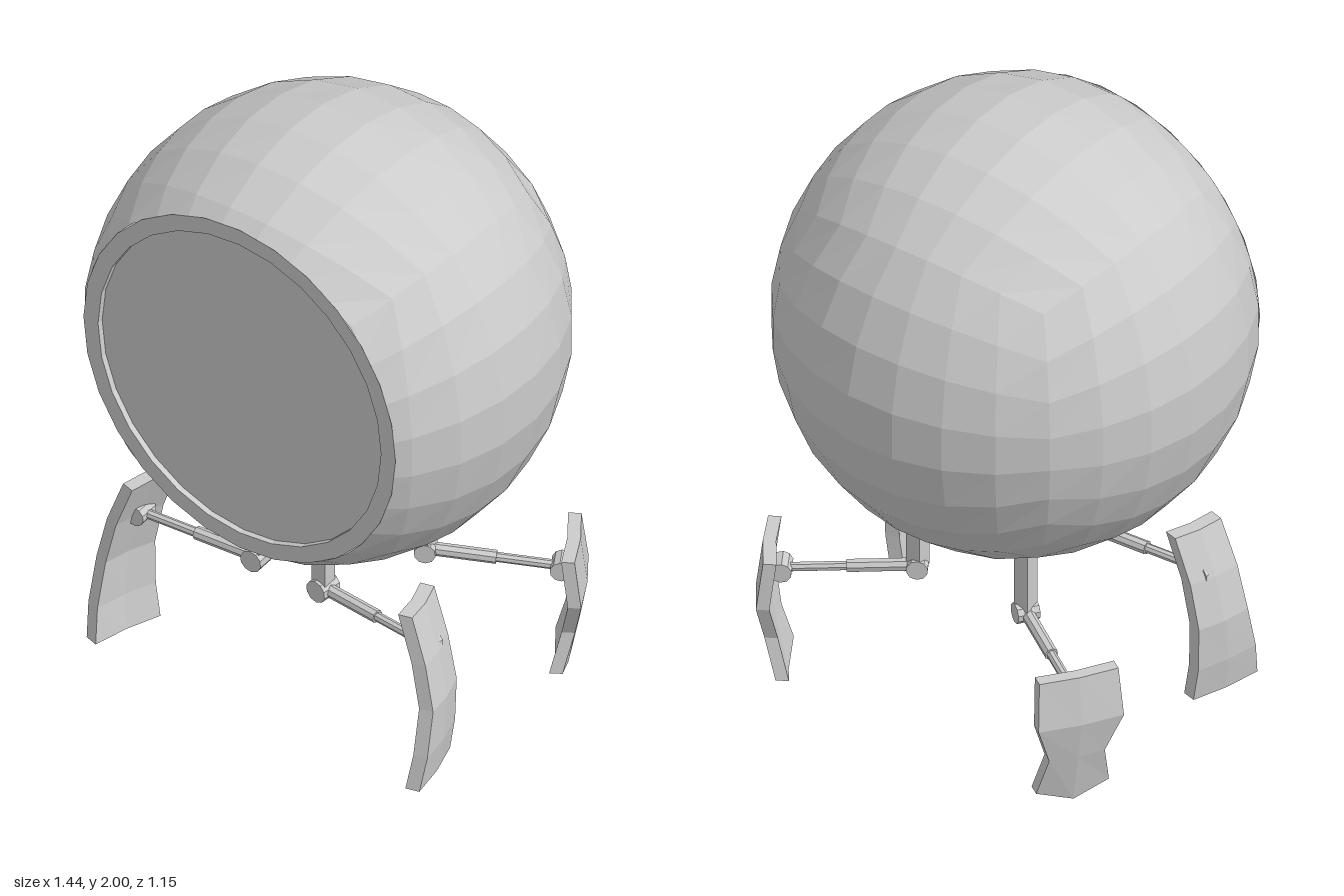
import * as THREE from 'three';

const material = new THREE.MeshStandardMaterial({ color: 0xcccccc, flatShading: true, side: THREE.DoubleSide });
const V = (x, y, z) => new THREE.Vector3(x, y, z);

function add(parent, name, geometry) {
  const mesh = new THREE.Mesh(geometry, material);
  mesh.name = name;
  parent.add(mesh);
  return mesh;
}

function fromPoints(points) {
  const geometry = new THREE.BufferGeometry().setFromPoints(points);
  geometry.computeVertexNormals();
  return geometry;
}

// Keep the part of a polygon where dot(normal, p) <= limit
function clip(poly, normal, limit) {
  const out = [];
  poly.forEach((a, i) => {
    const b = poly[(i + 1) % poly.length];
    const da = normal.dot(a) - limit, db = normal.dot(b) - limit;
    if (da <= 0) out.push(a);
    if (da * db < 0) out.push(a.clone().lerp(b, da / (da - db)));
  });
  return out;
}

// Faceted ball made from a rounded cube grid, cut flat at front and bottom
function bodyShell(radius, centre, frontZ, bottomY) {
  const box = new THREE.BoxGeometry(2, 2, 2, 7, 7, 7).toNonIndexed();
  const pos = box.attributes.position;
  const bend = v => Math.tan(v * Math.PI / 4);
  const corner = i => V(bend(pos.getX(i)), bend(pos.getY(i)), bend(pos.getZ(i)))
    .setLength(radius).add(centre);
  const points = [];
  for (let i = 0; i < pos.count; i += 3) {
    let poly = [corner(i), corner(i + 1), corner(i + 2)];
    poly = clip(poly, V(0, 0, 1), frontZ);
    poly = clip(poly, V(0, -1, 0), -bottomY);
    for (let j = 1; j + 1 < poly.length; j++) points.push(poly[0], poly[j], poly[j + 1]);
  }
  return fromPoints(points);
}

// Cylinder between two points
function rod(parent, name, a, b, r, sides = 8) {
  const dir = b.clone().sub(a);
  const mesh = add(parent, name, new THREE.CylinderGeometry(r, r, dir.length(), sides));
  mesh.position.copy(a).add(b).multiplyScalar(0.5);
  mesh.quaternion.setFromUnitVectors(V(0, 1, 0), dir.normalize());
  return mesh;
}

// Curved foot plate lofted through rows of [x, y, z, halfWidth, middleDrop]
function footPlate(rows, yaw, thickness, side) {
  const n = V(Math.cos(yaw), 0, -Math.sin(yaw)), t = V(Math.sin(yaw), 0, Math.cos(yaw));
  const loops = rows.map(([x, y, z, half, drop = 0]) => {
    const at = (w, k) => {
      const p = V(x, y - (w === 0 ? drop : 0), z).addScaledVector(t, w * half)
        .addScaledVector(n, k * thickness / 2 + (w === 0 ? 0.008 : 0));
      p.x *= side;
      return p;
    };
    const loop = [at(-1, 1), at(0, 1), at(1, 1), at(1, -1), at(0, -1), at(-1, -1)];
    return side < 0 ? loop.reverse() : loop;
  });
  const points = [];
  for (let i = 0; i + 1 < loops.length; i++) {
    for (let j = 0; j < 6; j++) {
      const k = (j + 1) % 6, p = loops[i], q = loops[i + 1];
      points.push(p[j], p[k], q[j], p[k], q[k], q[j]);
    }
  }
  // End caps, two quads each
  for (const [a, b, c, d] of [[0, 1, 4, 5], [1, 2, 3, 4]]) {
    const p = loops[0], q = loops[loops.length - 1];
    points.push(p[a], p[c], p[b], p[a], p[d], p[c]);
    points.push(q[a], q[b], q[c], q[a], q[c], q[d]);
  }
  return fromPoints(points);
}

const legs = [
  {
    name: 'frontLeg', hip: [0.125, 0.46, 0.33], ankle: [0.54, 0.455, 0.36], yaw: 0.27, thickness: 0.045, knuckle: 0.037,
    rows: [[0.5, 0.6, 0.362, 0.086], [0.555, 0.45, 0.367, 0.088], [0.588, 0.3, 0.37, 0.092],
      [0.588, 0.15, 0.388, 0.108], [0.573, 0.035, 0.4, 0.12]],
  },
  {
    name: 'backLeg', hip: [0.2, 0.405, -0.07], ankle: [0.545, 0.37, -0.285], yaw: 0.58, thickness: 0.04, knuckle: 0.033,
    rows: [[0.565, 0.47, -0.305, 0.125], [0.582, 0.31, -0.316, 0.135], [0.56, 0.18, -0.308, 0.088],
      [0.53, 0.045, -0.29, 0.115, 0.04]],
  },
];

function buildLeg(spec, side) {
  const leg = new THREE.Group();
  leg.name = (side > 0 ? 'left ' : 'right ') + spec.name;
  const hip = V(...spec.hip), ankle = V(...spec.ankle);
  hip.x *= side;
  ankle.x *= side;
  const along = ankle.clone().sub(hip);
  const across = V(-along.z, 0, along.x).normalize();

  // Vertical post down from the body
  const top = 0.69;
  const post = add(leg, 'post', new THREE.BoxGeometry(0.05, top - hip.y, 0.05));
  post.position.set(hip.x, (top + hip.y) / 2, hip.z);

  // Pivots at both ends of a two-stage strut
  for (const [name, p, r] of [['hipPivot', hip, spec.knuckle], ['anklePivot', ankle, 0.033]]) {
    rod(leg, name, p.clone().addScaledVector(across, -0.035), p.clone().addScaledVector(across, 0.035), r, 10);
  }
  const middle = hip.clone().lerp(ankle, 0.52);
  rod(leg, 'strutSleeve', hip, middle, 0.021);
  rod(leg, 'strutPiston', middle, ankle, 0.015);

  add(leg, 'footPlate', footPlate(spec.rows, spec.yaw, spec.thickness, side));
  return leg;
}

export function createModel() {
  const model = new THREE.Group();
  model.name = 'sphericalPod';
  const centre = V(0, 1.28, 0.145), frontZ = 0.575, bottomY = 0.645;

  add(model, 'bodyShell', bodyShell(0.73, centre, frontZ, bottomY));

  // Front rim with a slightly recessed window
  const profile = [[0.588, 0], [0.533, 0], [0.533, -0.02], [0, -0.02]].map(p => new THREE.Vector2(...p));
  const front = add(model, 'frontWindow', new THREE.LatheGeometry(profile, 28));
  front.rotation.x = Math.PI / 2;
  front.position.set(0, centre.y, frontZ);

  // Shallow recess in the underside
  const recess = [[0, 0.045], [0.355, 0.045], [0.355, 0]].map(p => new THREE.Vector2(...p));
  add(model, 'undersideRecess', new THREE.LatheGeometry(recess, 24)).position.set(0, bottomY, centre.z);

  for (const spec of legs) for (const side of [1, -1]) model.add(buildLeg(spec, side));
  return model;
}
